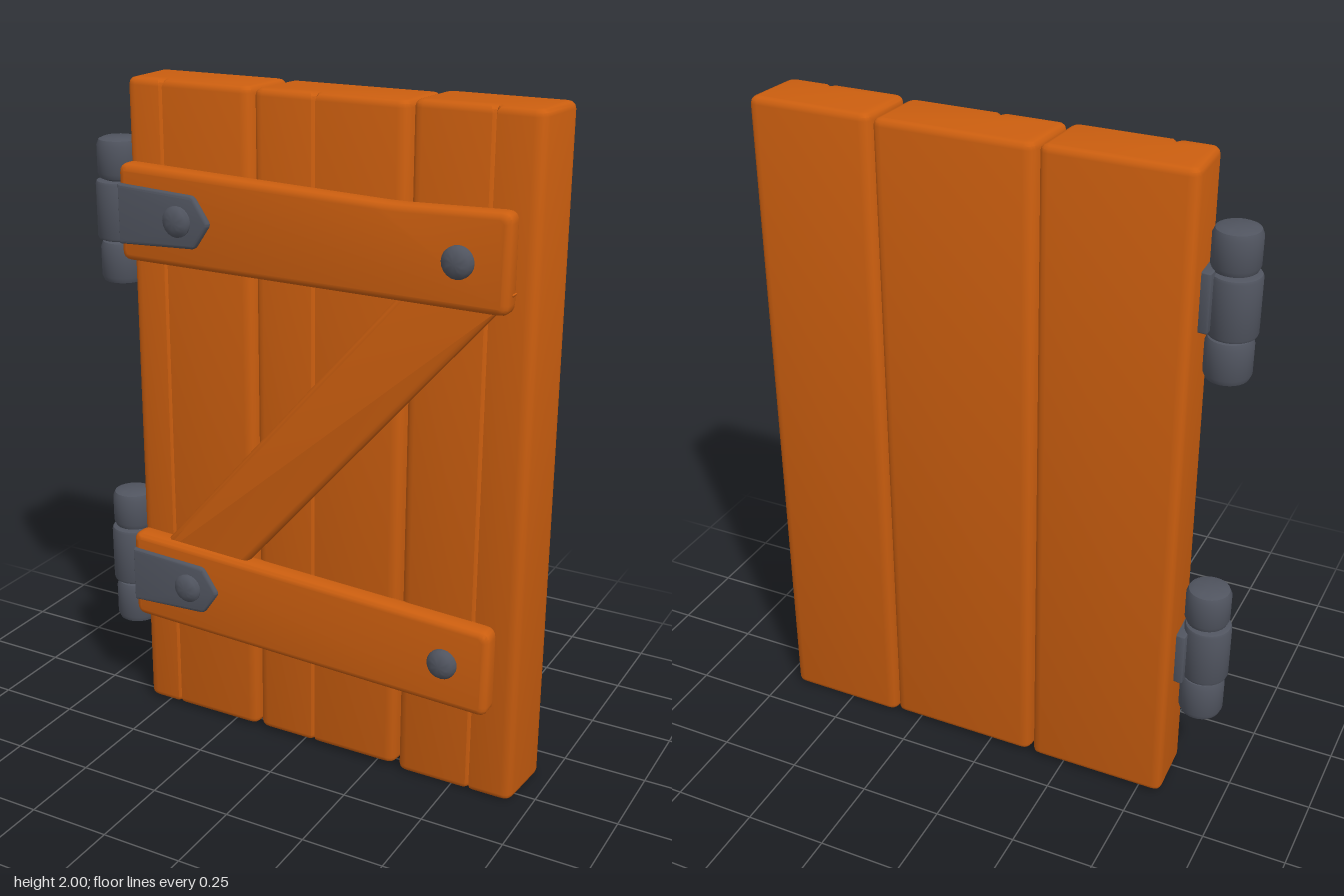
import * as THREE from 'three';
import { toCreasedNormals } from 'three/addons/utils/BufferGeometryUtils.js';

const wood = new THREE.MeshStandardMaterial({ color: 0xcb5e0f });
wood.name = 'orange wood';
const iron = new THREE.MeshStandardMaterial({ color: 0x50545f });
iron.name = 'dark iron';

// Closed outline whose corners are rounded; each point is [x, y, radius]
function roundedShape(points) {
  const shape = new THREE.Shape();
  const n = points.length;
  points.forEach(([x, y, r], i) => {
    const p = new THREE.Vector2(x, y);
    const toward = (q) => new THREE.Vector2(q[0], q[1]).sub(p).setLength(r).add(p);
    const a = toward(points[(i + n - 1) % n]);
    const b = toward(points[(i + 1) % n]);
    if (i === 0) shape.moveTo(a.x, a.y);
    else shape.lineTo(a.x, a.y);
    if (r > 0) shape.quadraticCurveTo(x, y, b.x, b.y);
  });
  shape.closePath();
  return shape;
}

// Extrusion from z0 to z1 with rounded rims that stay inside the outline
function slab(points, z0, z1, bevel) {
  const geometry = new THREE.ExtrudeGeometry(roundedShape(points), {
    depth: z1 - z0 - 2 * bevel,
    bevelThickness: bevel,
    bevelSize: bevel,
    bevelOffset: -bevel,
    bevelSegments: 3,
    curveSegments: 4,
  });
  geometry.translate(0, 0, z0 + bevel);
  return geometry;
}

function addPart(parent, name, geometry, material) {
  const mesh = new THREE.Mesh(toCreasedNormals(geometry, 0.6), material);
  mesh.name = name;
  parent.add(mesh);
  return mesh;
}

// Upright plank: leaning sides, V grooves cut into the front
function addPlank(parent, name, front, back, grooves, y0, y1) {
  const r = 0.03, f = -0.055, b = 0.145;
  const points = [[front[0], f, r]];
  for (const g of grooves) {
    points.push([g - 0.006, f, 0], [g, f + 0.016, 0], [g + 0.006, f, 0]);
  }
  points.push([front[1], f, r], [back[1], b, r], [back[0], b, r]);
  const geometry = slab(points, y0, y1, 0.02);
  geometry.rotateX(-Math.PI / 2);
  addPart(parent, name, geometry, wood);
}

// Domed bolt head facing the front
function addBolt(parent, name, x, y, z, height) {
  const profile = [[0.045, -0.02], [0.045, 0.4 * height], [0.038, 0.7 * height], [0.022, 0.93 * height], [0, height]]
    .map(([px, py]) => new THREE.Vector2(px, py));
  const geometry = new THREE.LatheGeometry(profile, 20);
  geometry.rotateX(Math.PI / 2);
  addPart(parent, name, geometry, iron).position.set(x, y, z);
}

// Knuckle of a hinge barrel with softened rims
function addKnuckle(parent, name, x, y0, y1, r, soft) {
  const profile = [
    [0, y0], [r - soft, y0], [r - 0.3 * soft, y0 + 0.3 * soft], [r, y0 + soft],
    [r, y1 - soft], [r - 0.3 * soft, y1 - 0.3 * soft], [r - soft, y1], [0, y1],
  ].map(([px, py]) => new THREE.Vector2(px, py));
  addPart(parent, name, new THREE.LatheGeometry(profile, 28), iron).position.set(x, 0, 0);
}

function createHinge(name, barrel, strapY) {
  const hinge = new THREE.Group();
  hinge.name = name;
  const [a, b, c, d] = barrel;
  addKnuckle(hinge, 'lowerKnuckle', -0.638, a, b, 0.066, 0.022);
  addKnuckle(hinge, 'middleKnuckle', -0.643, b, c, 0.069, 0.01);
  addKnuckle(hinge, 'upperKnuckle', -0.638, c, d, 0.066, 0.022);

  // Pointed strap lying on the batten
  const strap = slab([
    [-0.565, strapY - 0.088, 0.005], [-0.31, strapY - 0.076, 0.012], [-0.258, strapY, 0.012],
    [-0.31, strapY + 0.076, 0.012], [-0.565, strapY + 0.088, 0.005],
  ], 0.085, 0.123, 0.01);
  addPart(hinge, 'strap', strap, iron);

  // Bent leaf joining the barrel to the strap around the plank edge
  const leaf = slab([
    [-0.598, 0.075, 0.008], [-0.6, -0.055, 0.008], [-0.55, -0.115, 0.008],
    [-0.5, -0.118, 0.004], [-0.5, -0.09, 0.004], [-0.555, -0.04, 0.004], [-0.56, 0.07, 0.004],
  ], strapY - 0.085, strapY + 0.085, 0.004);
  leaf.rotateX(-Math.PI / 2);
  addPart(hinge, 'leaf', leaf, iron);

  addBolt(hinge, 'strapBolt', -0.362, strapY, 0.118, 0.027);
  return hinge;
}

export function createModel() {
  const door = new THREE.Group();
  door.name = 'plankDoor';

  // Three heavy planks, each grooved to look like two boards
  addPlank(door, 'hingePlank', [-0.566, -0.162], [-0.574, -0.147], [-0.45], 0.008, 1.996);
  addPlank(door, 'middlePlank', [-0.152, 0.314], [-0.137, 0.329], [0.038], 0.01, 1.994);
  addPlank(door, 'latchPlank', [0.326, 0.69], [0.335, 0.706], [0.555], 0, 2);

  // Diagonal brace, its ends tucked beneath the battens
  addPart(door, 'brace', slab([
    [-0.52, 0.53, 0.01], [-0.222, 0.53, 0.01], [0.643, 1.53, 0.01], [0.353, 1.53, 0.01],
  ], 0.04, 0.09, 0.018), wood);

  // Slightly crooked battens
  addPart(door, 'upperBatten', slab([
    [-0.57, 1.478, 0.03], [0.635, 1.472, 0.03], [0.635, 1.746, 0.03], [0.3, 1.735, 0.05], [-0.57, 1.762, 0.03],
  ], 0.04, 0.108, 0.02), wood);
  addPart(door, 'lowerBatten', slab([
    [-0.57, 0.33, 0.03], [0.625, 0.29, 0.03], [0.625, 0.556, 0.03], [-0.57, 0.612, 0.03],
  ], 0.04, 0.11, 0.02), wood);

  // Iron fittings
  door.add(createHinge('upperHinge', [1.382, 1.513, 1.69, 1.815], 1.617));
  door.add(createHinge('lowerHinge', [0.256, 0.395, 0.58, 0.705], 0.473));
  addBolt(door, 'upperBolt', 0.494, 1.605, 0.106, 0.035);
  addBolt(door, 'lowerBolt', 0.488, 0.434, 0.106, 0.035);

  return door;
}
